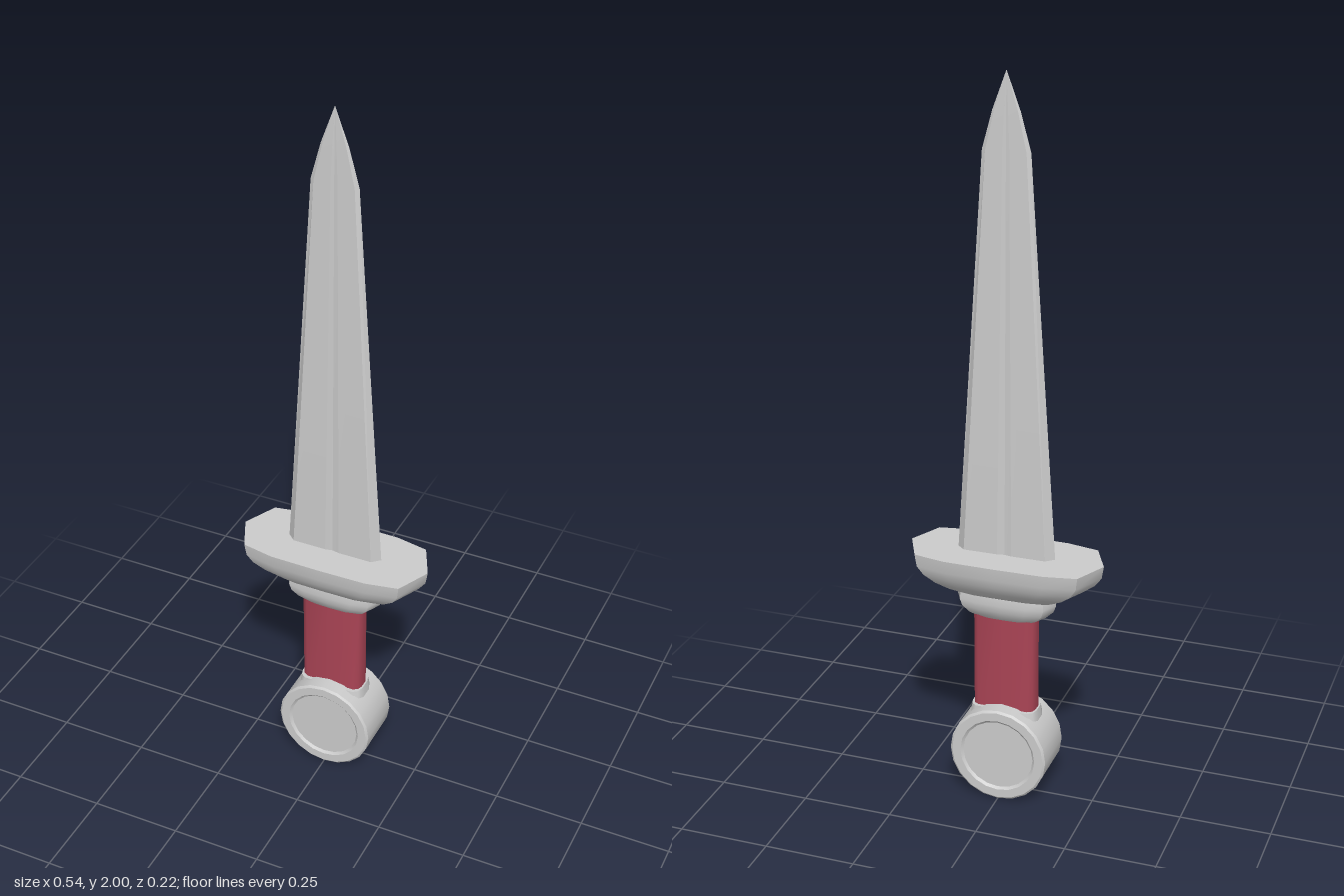
import * as THREE from 'three';
import { toCreasedNormals } from 'three/addons/utils/BufferGeometryUtils.js';

const steel = new THREE.MeshStandardMaterial({ color: 0xcccccc });
const leather = new THREE.MeshStandardMaterial({ color: 0xaa4455 });

// Mirror a quarter outline, given from the +x end to the +z middle, to a full ring
function mirrorQuarter(quarter) {
  const half = [...quarter, ...quarter.slice(0, -1).reverse().map(([x, z]) => [-x, z])];
  return [...half, ...half.slice(1, -1).reverse().map(([x, z]) => [x, -z])];
}

// Stack scaled copies of an outline: each ring is [y, scaleX, scaleZ]; both ends are capped
function loft(outline, rings, crease) {
  const n = outline.length;
  const positions = [];
  const index = [];
  for (const [y, sx, sz] of rings) {
    for (const [x, z] of outline) positions.push(x * sx, y, z * sz);
  }
  const bottom = n * rings.length;
  const top = bottom + 1;
  positions.push(0, rings[0][0], 0, 0, rings[rings.length - 1][0], 0);
  for (let i = 0; i < n; i++) {
    const j = (i + 1) % n;
    for (let r = 0; r < rings.length - 1; r++) {
      const a = r * n + i, b = r * n + j;
      index.push(a, a + n, b, b, a + n, b + n);
    }
    index.push(bottom, i, j);
    index.push(top, bottom - n + j, bottom - n + i);
  }
  const geometry = new THREE.BufferGeometry();
  geometry.setAttribute('position', new THREE.Float32BufferAttribute(positions, 3));
  geometry.setIndex(index);
  return toCreasedNormals(geometry, crease);
}

export function createModel() {
  const group = new THREE.Group();
  const add = (name, geometry, material) => {
    const mesh = new THREE.Mesh(geometry, material);
    mesh.name = name;
    group.add(mesh);
    return mesh;
  };

  // Blade: bevelled edges and a shallow central groove, tapering to a point
  const bladeOutline = mirrorQuarter([[0.137, 0], [0.115, 0.02], [0.02, 0.02], [0, 0.016]]);
  add('blade', loft(bladeOutline, [
    [0.7, 1, 1], [1.8, 0.47, 0.3], [1.9, 0.27, 0.18], [2, 0.001, 0.01],
  ], 0.12), steel);

  // Guard: flat top with a bowl-shaped underside
  const guardOutline = mirrorQuarter([[0.27, 0], [0.226, 0.093], [0.137, 0.11], [0, 0.112]]);
  add('guard', loft(guardOutline, [
    [0.595, 0.48, 0.4], [0.61, 0.63, 0.6], [0.63, 0.78, 0.77],
    [0.655, 0.91, 0.9], [0.68, 0.98, 0.97], [0.715, 1, 1],
  ], 0.7), steel);

  // Collar between guard and grip
  const collarOutline = mirrorQuarter([[0.14, 0], [0.118, 0.043], [0.07, 0.054], [0, 0.056]]);
  add('collar', loft(collarOutline, [
    [0.53, 0.64, 0.62], [0.54, 0.8, 0.77], [0.56, 0.95, 0.94],
    [0.58, 1, 1], [0.6, 0.98, 0.96],
  ], 0.7), steel);

  // Grip: flat bar with rounded corners
  const gripOutline = mirrorQuarter([
    [0.088, 0], [0.088, 0.012], [0.083, 0.026], [0.07, 0.034], [0, 0.034],
  ]);
  add('grip', loft(gripOutline, [[0.22, 1, 1], [0.54, 1, 1]], 0.7), leather);

  // Pommel: thick disc with a sunken face on front and back
  const side = [[0, 0.072], [0.1, 0.072], [0.107, 0.078], [0.131, 0.078], [0.137, 0.073]];
  const profile = [...side.map(([r, h]) => [r, -h]), ...side.slice().reverse()]
    .map(([r, h]) => new THREE.Vector2(r, h));
  const disc = new THREE.LatheGeometry(profile, 20);
  disc.rotateX(Math.PI / 2);
  const pommel = add('pommel', toCreasedNormals(disc, 0.6), steel);
  pommel.position.y = 0.137;
  pommel.scale.y = 1;

  // Saddle where the grip enters the pommel
  add('pommelSaddle', loft(gripOutline, [[0.2, 1.15, 1.6], [0.262, 1.05, 1.3]], 0.7), steel);
  return group;
}
